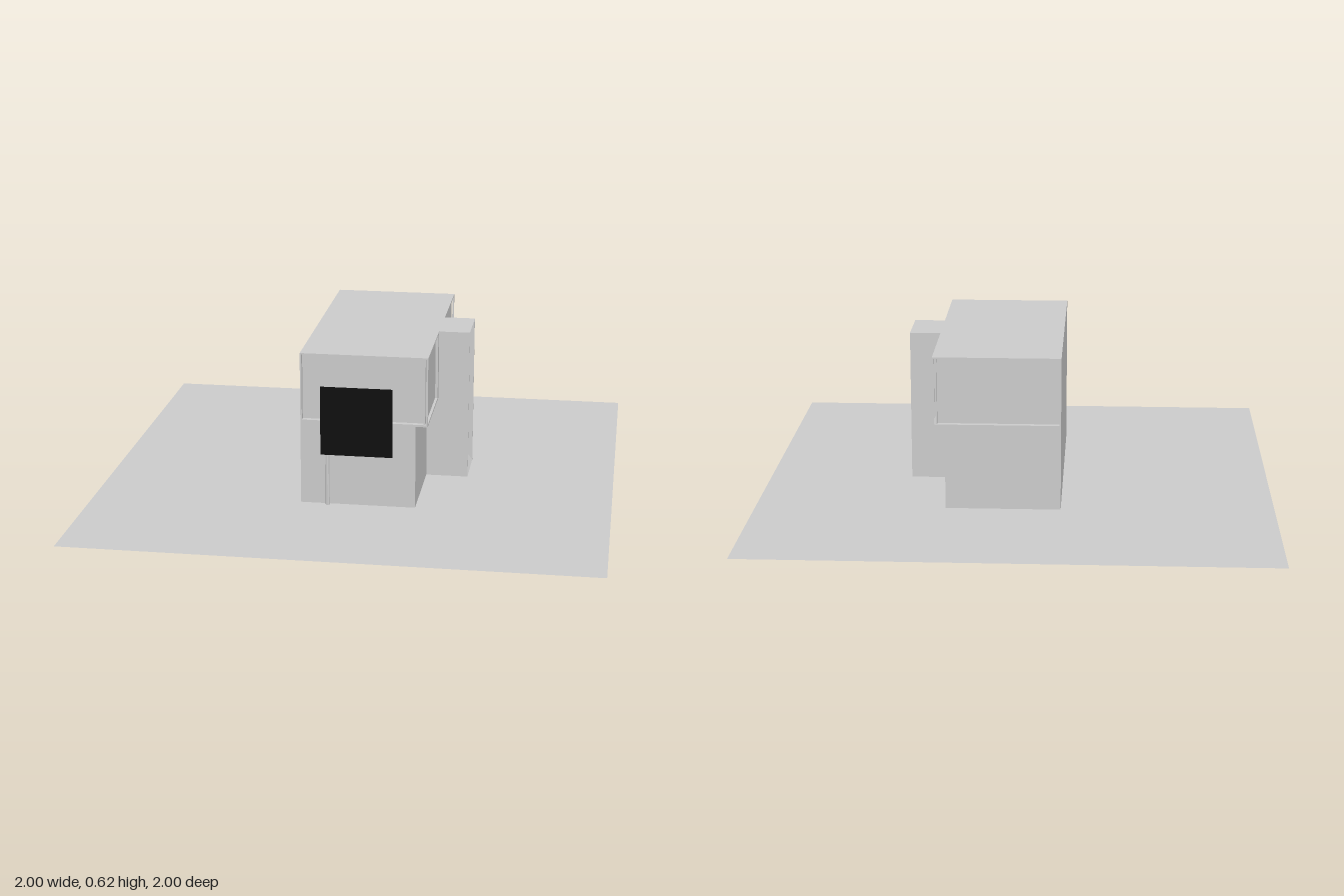
import * as THREE from 'three';

const grey = new THREE.MeshStandardMaterial({ color: 0xcccccc, flatShading: true });
const thin = new THREE.MeshStandardMaterial({ color: 0xcccccc, side: THREE.DoubleSide });
const black = new THREE.MeshStandardMaterial({ color: 0x0a0a0a, side: THREE.DoubleSide });

const BASE = 0.02, MID = 0.345, TOP = 0.615;   // floor levels
const WEST = -0.18, EAST = 0.305, END = 0.475; // plan limits

export function createModel() {
  const model = new THREE.Group();

  const add = (name, geometry, material = grey, parent = model) => {
    const mesh = new THREE.Mesh(geometry, material);
    mesh.name = name;
    parent.add(mesh);
    return mesh;
  };

  // Box given by its limits on each axis
  const block = (name, x0, x1, y0, y1, z0, z1, parent = model) => {
    const mesh = add(name, new THREE.BoxGeometry(x1 - x0, y1 - y0, z1 - z0), grey, parent);
    mesh.position.set((x0 + x1) / 2, (y0 + y1) / 2, (z0 + z1) / 2);
    return mesh;
  };

  // Flat ground with a smaller paved plot
  const flat = (name, size, y) => {
    const mesh = add(name, new THREE.PlaneGeometry(size, size), thin);
    mesh.rotation.x = -Math.PI / 2;
    mesh.position.y = y;
  };
  flat('ground', 2, 0);
  flat('plot', 1.07, 0.004);

  // Ground storey, narrower than the storey above
  block('lowerStorey', WEST, 0.26, BASE, MID, -END, END);

  // Upper storey: glazed core inside a thin frame
  const upper = new THREE.Group();
  upper.name = 'upperStorey';
  model.add(upper);
  block('glazedCore', WEST + 0.004, 0.295, MID + 0.005, TOP - 0.005, -0.455, 0.455, upper);
  block('roofSlab', WEST, EAST, TOP - 0.006, TOP, -END, END, upper);
  block('floorSlab', WEST, EAST, MID, MID + 0.008, -END, END, upper);
  block('blankWall', WEST, WEST + 0.006, MID, TOP, -END, END, upper);
  for (const s of [-1, 1]) {
    const span = (a, b) => (s > 0 ? [a, b] : [-b, -a]);
    block('cornerPost', 0.298, EAST, MID, TOP, ...span(0.468, END), upper);
    block('cornerReturn', 0.289, 0.295, MID, TOP, ...span(0.455, 0.47), upper);
    block('innerPost', 0.29, EAST, MID, TOP, ...span(0.1, 0.135), upper);
  }

  // Stair tower crossing the house, with a recessed window on its end
  const tower = new THREE.Group();
  tower.name = 'stairTower';
  model.add(tower);
  const W = 0.105, pane = 0.405, face = 0.425;
  block('towerBody', WEST, pane, BASE, TOP, -W, W, tower);
  for (const s of [-1, 1]) {
    const z = s * (W - 0.0025);
    block('windowJamb', pane, face, BASE, TOP, z - 0.0025, z + 0.0025, tower);
  }
  // Sloping head and sill of the window
  const wedge = (name, y, slope) => {
    const shape = new THREE.Shape([
      new THREE.Vector2(pane, y),
      new THREE.Vector2(face, y),
      new THREE.Vector2(pane, y + slope),
    ]);
    const geometry = new THREE.ExtrudeGeometry(shape, { depth: 2 * W, bevelEnabled: false });
    add(name, geometry.translate(0, 0, -W), grey, tower);
  };
  wedge('windowHead', TOP, -0.022);
  wedge('windowSill', BASE, 0.025);

  // Dark sign panel on a slim pole in front of the house
  const sign = new THREE.Group();
  sign.name = 'sign';
  model.add(sign);
  const pole = add('signPole', new THREE.CylinderGeometry(0.008, 0.008, 0.22, 8), grey, sign);
  pole.position.set(-0.075, 0.13, 0.486);
  const panel = add('signPanel', new THREE.PlaneGeometry(0.275, 0.27), black, sign);
  panel.position.set(0.038, 0.36, 0.5);

  return model;
}
